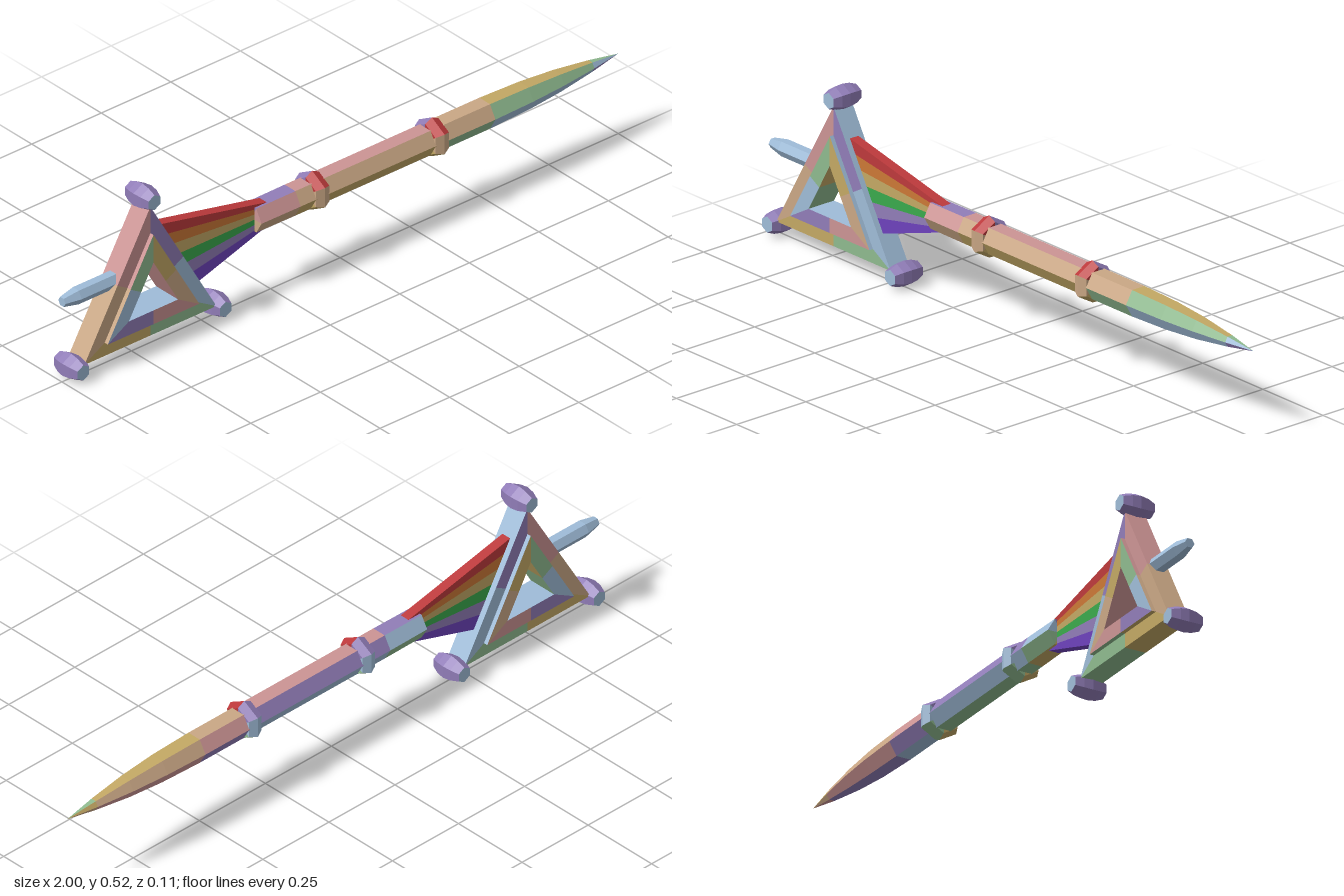
import * as THREE from 'three';

const C = {};
for (const [name, hex] of Object.entries({
  blue: 0x9fbcd8, pink: 0xcc9494, purple: 0x917db8, tan: 0xcaa785, green: 0x8fba8f,
  gold: 0xc3a864, red: 0xbe3a3c, orange: 0xcc7836, leaf: 0x3aaa4c, violet: 0x6e42bc,
})) {
  C[name] = new THREE.MeshStandardMaterial({ color: hex });
  C[name].name = name;
}
const wheel = [C.pink, C.tan, C.gold, C.green, C.blue, C.purple];

// Six-sided loft along x: stations are [x, radius], colourAt(face, segment) picks a material
function loft(name, stations, phase, colourAt) {
  const geo = new THREE.BufferGeometry(), pos = [], mats = [];
  const point = ([x, r], k) => {
    const a = phase + k * Math.PI / 3;
    return [x, r * Math.cos(a), r * Math.sin(a)];
  };
  for (let s = 0; s < stations.length - 1; s++) {
    for (let f = 0; f < 6; f++) {
      const p = stations[s], q = stations[s + 1], start = pos.length / 3;
      if (p[1] > 0) pos.push(...point(p, f), ...point(p, f + 1), ...point(q, f + 1));
      if (q[1] > 0) pos.push(...point(p, f), ...point(q, f + 1), ...point(q, f));
      const mat = colourAt(f, s);
      if (!mats.includes(mat)) mats.push(mat);
      geo.addGroup(start, pos.length / 3 - start, mats.indexOf(mat));
    }
  }
  geo.setAttribute('position', new THREE.Float32BufferAttribute(pos, 3));
  geo.computeVertexNormals();
  const mesh = new THREE.Mesh(geo, mats);
  mesh.name = name;
  return mesh;
}

// Flat polygon extruded evenly to both sides of z = 0
function plate(name, points, depth, mats) {
  const shape = new THREE.Shape(points.map(([x, y]) => new THREE.Vector2(x, y)));
  const geo = new THREE.ExtrudeGeometry(shape, { depth, bevelEnabled: false });
  geo.translate(0, 0, -depth / 2);
  const mesh = new THREE.Mesh(geo, mats);
  mesh.name = name;
  return mesh;
}

// Triangular ring cut into six half-sides, each with its own face and edge colour
function triangleRing(name, outer, inner, depth, faces, edges) {
  const group = new THREE.Group();
  group.name = name;
  const at = (r, k) => {
    const a = Math.PI / 2 + k * Math.PI / 3, d = k % 2 ? r / 2 : r;
    return [d * Math.cos(a), d * Math.sin(a)];
  };
  for (let k = 0; k < 6; k++) {
    group.add(plate(name + 'Part', [at(outer, k), at(outer, k + 1), at(inner, k + 1), at(inner, k)],
      depth, [faces[k], edges[k]]));
  }
  return group;
}

export function createModel() {
  const model = new THREE.Group();
  const axisY = 0.26;

  // Triangular head: outer frame, thicker inner frame and lining of the opening
  const head = new THREE.Group();
  head.name = 'triangleHead';
  head.position.set(-0.71, 0.19, 0);
  const outerEdges = [C.pink, C.tan, C.gold, C.green, C.blue, C.blue];
  const shifted = wheel.map((_, i) => wheel[(i + 3) % 6]);
  const lining = [C.gold, C.green, C.blue, C.blue, C.pink, C.pink];
  head.add(
    triangleRing('outerFrame', 0.274, 0.185, 0.066, wheel, outerEdges),
    triangleRing('innerFrame', 0.19, 0.108, 0.092, shifted, outerEdges),
    triangleRing('openingLining', 0.108, 0.102, 0.092, shifted, lining),
  );

  // Faceted knob on each corner
  const knobProfile = [[-0.05, 0], [-0.05, 0.024], [-0.025, 0.034], [0, 0.038],
    [0.025, 0.034], [0.05, 0.024], [0.05, 0]];
  for (let i = 0; i < 3; i++) {
    const a = Math.PI / 2 + i * 2 * Math.PI / 3;
    const knob = loft('cornerKnob', knobProfile, 0, (f, s) => (s === 0 || s === 5 ? C.blue : C.purple));
    knob.rotation.y = -Math.PI / 2;
    knob.position.set(0.295 * Math.cos(a), 0.295 * Math.sin(a), 0);
    head.add(knob);
  }
  model.add(head);

  // Rod behind the head
  const rod = loft('rearRod', [[-1, 0], [-1, 0.015], [-0.95, 0.025], [-0.79, 0.025], [-0.79, 0]],
    -Math.PI / 6, () => C.blue);
  rod.position.y = axisY;
  model.add(rod);

  // Fan of coloured stripes narrowing into the blade
  const fan = new THREE.Group();
  fan.name = 'stripeFan';
  const wide = t => [-0.675 + 0.135 * t, 0.383 - 0.246 * t];
  const narrow = t => [-0.275, 0.298 - 0.076 * t];
  [C.red, C.orange, C.gold, C.leaf, C.purple, C.violet].forEach((mat, i) => {
    const t0 = i / 6, t1 = (i + 1) / 6;
    fan.add(plate('fanStripe', [wide(t0), wide(t1), narrow(t1), narrow(t0)], 0.03, mat));
  });
  model.add(fan);

  // Hexagonal blade with a curved tip; the colours step around the wheel along its length
  const bladeProfile = [[-0.32, 0], [-0.32, 0.044], [-0.18, 0.045], [0.31, 0.045], [0.52, 0.045],
    [0.66, 0.041], [0.78, 0.032], [0.9, 0.017], [1, 0]];
  const steps = [0, 0, 1, 2, 3, 3, 3, 4];
  const blade = loft('blade', bladeProfile, -Math.PI / 6, (f, s) =>
    (f === 1 && s === 3 ? C.tan : wheel[(f + 5 + steps[s]) % 6]));
  blade.position.y = axisY;
  model.add(blade);

  // Two collars around the blade
  const collarColours = [C.red, C.tan, C.gold, C.green, C.blue, C.purple];
  const collarProfile = [[-0.024, 0.035], [-0.024, 0.05], [0, 0.062], [0.024, 0.05], [0.024, 0.035]];
  for (const x of [-0.1, 0.33]) {
    const collar = loft('collar', collarProfile, 0, f => collarColours[f]);
    collar.position.set(x, axisY, 0);
    model.add(collar);
  }
  return model;
}
